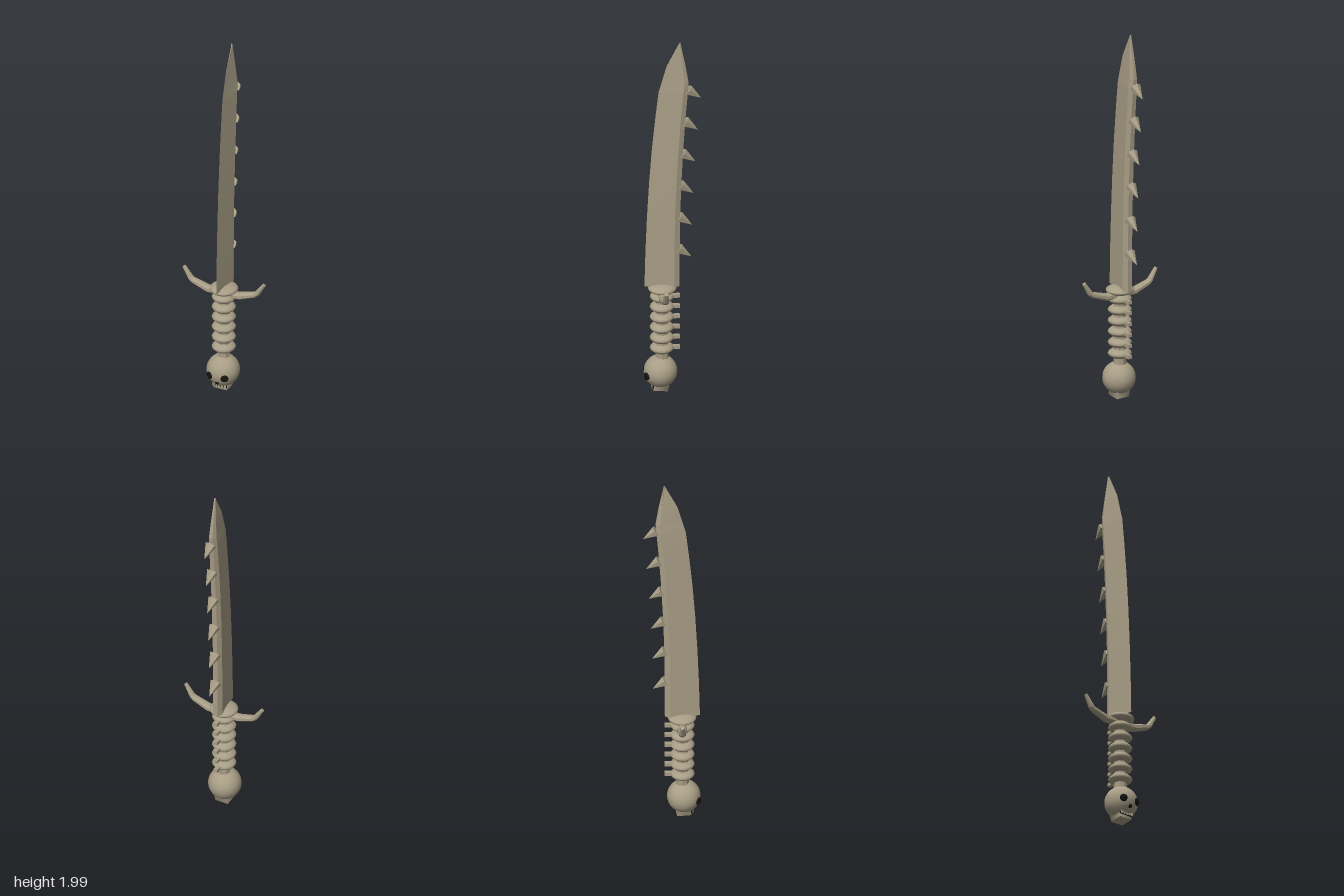
import * as THREE from 'three';

const bone = new THREE.MeshStandardMaterial({ color: 0xa89e86 });
bone.name = 'bone';
const dark = new THREE.MeshStandardMaterial({ color: 0x141311 });
dark.name = 'hollow black';

const GRIP_Z = 0.055;

function add(parent, name, geometry, material, x = 0, y = 0, z = 0) {
  const mesh = new THREE.Mesh(geometry, material);
  mesh.name = name;
  mesh.position.set(x, y, z);
  parent.add(mesh);
  return mesh;
}

// Skins a stack of closed cross-sections (arrays of Vector3) with flat facets and end caps.
function loft(sections) {
  const pos = [];
  const tri = (...pts) => pts.forEach((p) => pos.push(p.x, p.y, p.z));
  const n = sections[0].length;
  for (let i = 0; i < sections.length - 1; i++) {
    const a = sections[i], b = sections[i + 1];
    for (let j = 0; j < n; j++) {
      const k = (j + 1) % n;
      tri(a[j], a[k], b[k]);
      tri(a[j], b[k], b[j]);
    }
  }
  const first = sections[0], last = sections[sections.length - 1];
  for (let j = 1; j < n - 1; j++) {
    tri(first[0], first[j + 1], first[j]);
    tri(last[0], last[j], last[j + 1]);
  }
  const g = new THREE.BufferGeometry();
  g.setAttribute('position', new THREE.Float32BufferAttribute(pos, 3));
  g.computeVertexNormals();
  return g;
}

// Blade: sharp front edge, thick ridge near a narrow flat spine.
function bladeGeometry() {
  // height, front edge z, back edge z, half thickness
  const rows = [
    [0.6, 0.145, -0.036, 0.026], [0.8, 0.14, -0.036, 0.026], [1.0, 0.132, -0.038, 0.026],
    [1.2, 0.121, -0.045, 0.026], [1.4, 0.106, -0.055, 0.026], [1.58, 0.088, -0.067, 0.025],
    [1.72, 0.072, -0.079, 0.024], [1.77, 0.058, -0.083, 0.021], [1.87, 0.03, -0.067, 0.014],
    [2.0, -0.036, -0.041, 0.004],
  ];
  return loft(rows.map(([y, f, b, w]) => {
    const ridge = b + (f - b) * 0.16;
    return [[0, f], [w, ridge], [w * 0.5, b], [-w * 0.5, b], [-w, ridge]]
      .map(([x, z]) => new THREE.Vector3(x, y, z));
  }));
}

// Curved horn of the guard, tapering along a bent path.
function hornGeometry(side) {
  // x, y, half height, half depth
  const path = [[0.03, 0.566, 0.02, 0.026], [0.09, 0.566, 0.02, 0.025],
    [0.175, 0.594, 0.016, 0.02], [0.19, 0.606, 0.015, 0.018], [0.228, 0.665, 0.01, 0.01]];
  const sections = path.map(([x, y, h, d], i) => {
    const p = path[Math.max(i - 1, 0)], q = path[Math.min(i + 1, path.length - 1)];
    const angle = Math.atan2(q[1] - p[1], q[0] - p[0]);
    const ring = [];
    for (let j = 0; j < 8; j++) {
      const t = side * (j + 0.5) * Math.PI / 4;
      const up = Math.cos(t) * h;
      ring.push(new THREE.Vector3(side * (x - Math.sin(angle) * up),
        y + Math.cos(angle) * up, GRIP_Z - 0.002 + Math.sin(t) * d * side * side));
    }
    return ring;
  });
  return loft(sections);
}

function buildSkull() {
  const skull = new THREE.Group();
  skull.name = 'skullPommel';
  const centre = new THREE.Vector3(0, 0.11, 0.062);
  add(skull, 'cranium', new THREE.SphereGeometry(0.087, 24, 16), bone, 0, centre.y, centre.z);

  // Jaw with a row of teeth over a dark mouth
  const jaw = new THREE.Group();
  jaw.name = 'jaw';
  jaw.position.set(0, 0.03, 0.062);
  jaw.rotation.x = -0.08;
  skull.add(jaw);
  add(jaw, 'jawBone', new THREE.CylinderGeometry(0.058, 0.052, 0.042, 4).rotateY(Math.PI / 4), bone);
  add(jaw, 'mouth', new THREE.BoxGeometry(0.08, 0.026, 0.008), dark, 0, 0.008, 0.041);
  for (let i = 0; i < 5; i++) {
    add(jaw, 'tooth', new THREE.BoxGeometry(0.011, 0.018, 0.008), bone, (i - 2) * 0.0165, 0.004, 0.045);
  }

  // Sockets lie flat against the cranium
  const socket = (name, x, y, r) => {
    const dz = Math.sqrt(0.087 ** 2 - x * x - (y - centre.y) ** 2);
    const m = add(skull, name, new THREE.IcosahedronGeometry(r, 1), dark, x, y, centre.z + dz);
    m.scale.z = 0.45;
    m.lookAt(m.position.clone().multiplyScalar(2).sub(centre));
  };
  socket('leftEyeSocket', 0.043, 0.102, 0.021);
  socket('rightEyeSocket', -0.043, 0.102, 0.021);
  socket('noseHole', 0, 0.066, 0.011);
  return skull;
}

export function createModel() {
  const sword = new THREE.Group();
  sword.name = 'boneSword';

  add(sword, 'blade', bladeGeometry(), bone);

  // Barbs along the spine, pointing back and down
  for (let i = 0; i < 6; i++) {
    const t = i / 5;
    const z = -0.028 - 0.012 * t - 0.038 * t * t;
    const cone = new THREE.ConeGeometry(0.031, 0.084, 6).toNonIndexed();
    cone.computeVertexNormals();
    const barb = add(sword, 'barb', cone, bone, 0, 0.787 + 0.183 * i, z - 0.036);
    barb.rotation.x = -Math.PI / 2 - 0.62;
  }

  // Guard collar and horns
  const collar = add(sword, 'collar', new THREE.SphereGeometry(0.074, 24, 12), bone, 0, 0.589, GRIP_Z - 0.002);
  collar.scale.y = 0.34;
  add(sword, 'leftHorn', hornGeometry(1), bone);
  add(sword, 'rightHorn', hornGeometry(-1), bone);

  // Spine-like grip: core, vertebra rings and rear processes
  const core = new THREE.CylinderGeometry(0.034, 0.034, 0.41, 8).toNonIndexed();
  core.computeVertexNormals();
  add(sword, 'gripCore', core, bone, 0, 0.385, GRIP_Z);
  const profile = [[0.03, -0.023], [0.043, -0.021], [0.058, -0.009], [0.063, 0],
    [0.058, 0.009], [0.043, 0.021], [0.03, 0.023]].map(([r, y]) => new THREE.Vector2(r, y));
  for (let i = 0; i < 6; i++) {
    const y = 0.245 + 0.0592 * i;
    add(sword, 'vertebra', new THREE.LatheGeometry(profile, 20), bone, 0, y, GRIP_Z);
    add(sword, 'vertebraSpur', new THREE.BoxGeometry(0.022, 0.018, 0.055), bone, 0, y, -0.01);
  }

  sword.add(buildSkull());
  return sword;
}
